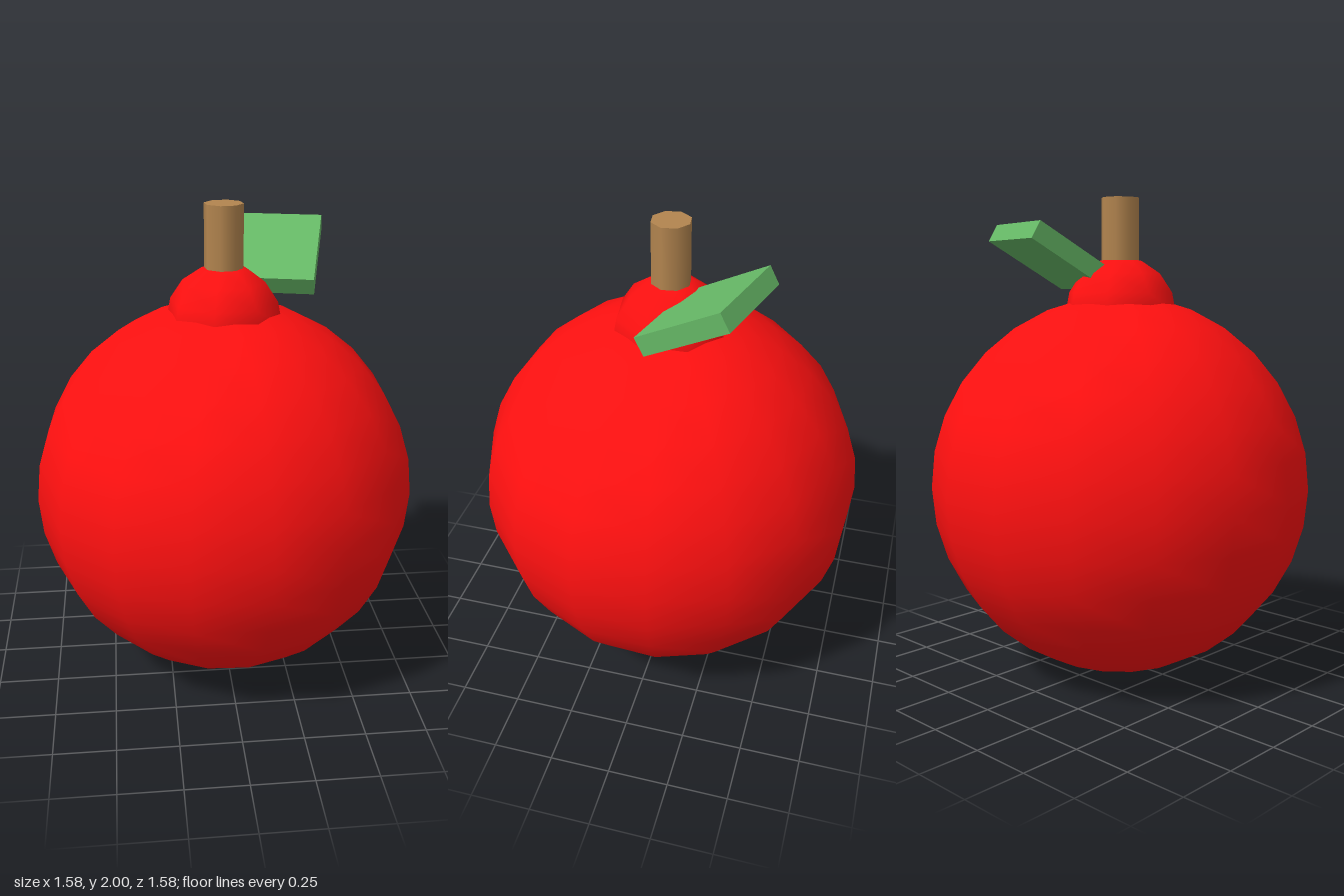
import * as THREE from 'three';

const RED = 0xff1010, BROWN = 0xb3854f, GREEN = 0x66b866;

function addPart(parent, name, geometry, color, x, y, z) {
  const mesh = new THREE.Mesh(geometry, new THREE.MeshStandardMaterial({ color }));
  mesh.name = name;
  mesh.position.set(x, y, z);
  parent.add(mesh);
  return mesh;
}

export function createModel() {
  const model = new THREE.Group();
  model.name = 'fruit';

  // The whole fruit is turned slightly about the vertical axis
  const fruit = new THREE.Group();
  fruit.name = 'turnedFruit';
  fruit.rotation.y = THREE.MathUtils.degToRad(-14.5);
  model.add(fruit);

  // Round body and the small crown sunk into its top
  addPart(fruit, 'body', new THREE.SphereGeometry(0.8, 16, 16), RED, 0, 0.8, 0);
  addPart(fruit, 'crown', new THREE.SphereGeometry(0.24, 8, 8), RED, 0, 1.52, 0);

  // Upright stem
  addPart(fruit, 'stem', new THREE.CylinderGeometry(0.08, 0.08, 0.4, 8), BROWN, 0, 1.8, 0);

  // Slab leaf, rising towards the back
  const leaf = addPart(fruit, 'leaf', new THREE.BoxGeometry(0.4, 0.08, 0.4), GREEN, 0.16, 1.76, -0.24);
  leaf.rotation.x = Math.PI / 6;

  return model;
}
